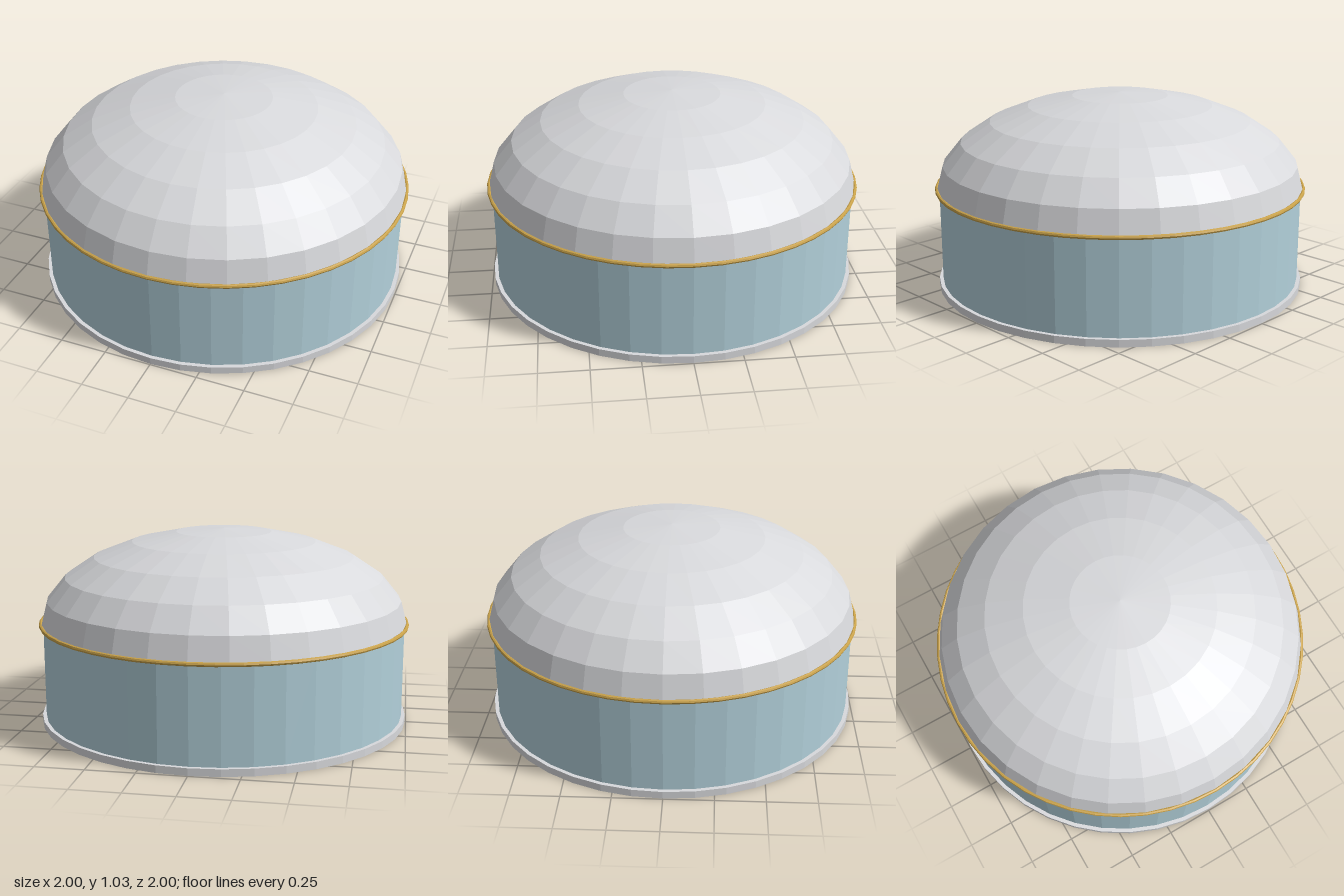
import * as THREE from 'three';

export function createModel() {
  const group = new THREE.Group();
  const material = (name, color) => {
    const m = new THREE.MeshStandardMaterial({ color, flatShading: true });
    m.name = name;
    return m;
  };
  const shell = material('pale grey', 0xd8d9dc);
  const glass = material('pale blue', 0xb2d0da);
  const gold = material('gold', 0xc9a24a);

  const add = (name, geometry, mat, y) => {
    const mesh = new THREE.Mesh(geometry, mat);
    mesh.name = name;
    mesh.position.y = y;
    group.add(mesh);
    return mesh;
  };

  // Thin base plate and the drum wall standing on it
  add('basePlate', new THREE.CylinderGeometry(0.995, 0.995, 0.038, 40), shell, 0.019);
  add('drumWall', new THREE.CylinderGeometry(0.975, 0.975, 0.5, 40), glass, 0.288);

  // Flattened half-sphere roof
  const dome = new THREE.SphereGeometry(0.988, 32, 6, 0, Math.PI * 2, 0, Math.PI / 2);
  dome.scale(1, 0.5 / 0.988, 1);
  add('domeRoof', dome, shell, 0.535);

  // Slim trim ring where the roof meets the wall
  const ring = new THREE.TorusGeometry(0.988, 0.011, 8, 48);
  ring.rotateX(Math.PI / 2);
  add('trimRing', ring, gold, 0.538);

  return group;
}
